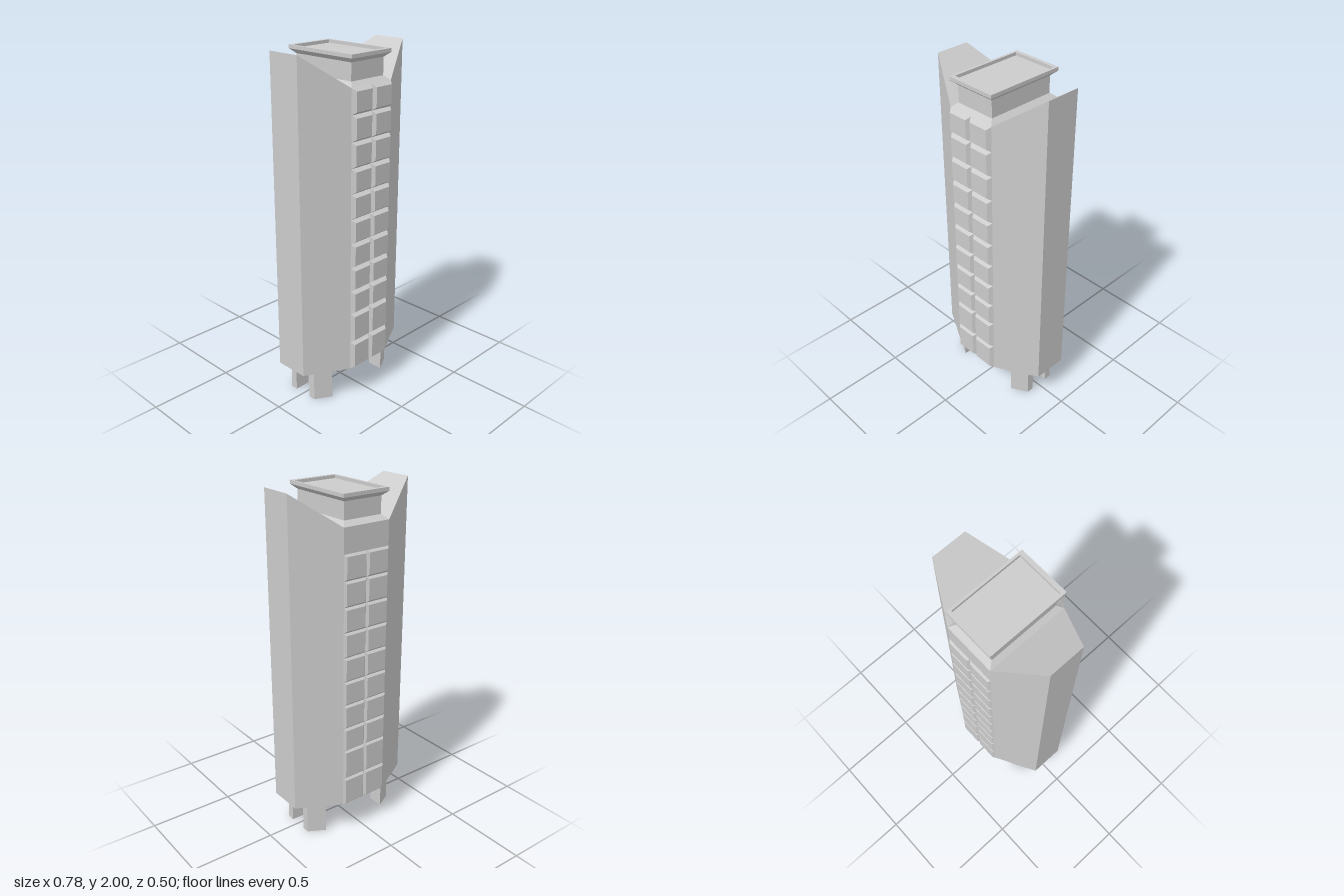
import * as THREE from 'three';

const material = new THREE.MeshStandardMaterial({ color: 0xcccccc, flatShading: true });

// Closed solid through stacked loops of [x, y, z], each counter-clockwise seen from above.
function loft(loops) {
  const pos = [];
  const quad = (a, b, c, d) => pos.push(...a, ...b, ...c, ...a, ...c, ...d);
  const n = loops[0].length;
  for (let k = 0; k < loops.length - 1; k++) {
    const l = loops[k], u = loops[k + 1];
    for (let i = 0; i < n; i++) {
      const j = (i + 1) % n;
      quad(l[i], l[j], u[j], u[i]);
    }
  }
  const bottom = loops[0], top = loops[loops.length - 1];
  for (let i = 0; i < n / 2 - 1; i++) {
    quad(top[i], top[i + 1], top[n - 2 - i], top[n - 1 - i]);
    quad(bottom[n - 1 - i], bottom[n - 2 - i], bottom[i + 1], bottom[i]);
  }
  const g = new THREE.BufferGeometry();
  g.setAttribute('position', new THREE.Float32BufferAttribute(pos, 3));
  g.computeVertexNormals();
  return g;
}

// Rectangular loop at height y
const rect = (hx, z0, z1, y) => [[hx, y, z0], [-hx, y, z0], [-hx, y, z1], [hx, y, z1]];

function add(parent, name, geometry) {
  const mesh = new THREE.Mesh(geometry, material);
  mesh.name = name;
  parent.add(mesh);
  return mesh;
}

export function createModel() {
  const model = new THREE.Group();
  model.name = 'tower';

  // Eight-sided shaft whose side wings rise towards the outer edges
  const plan = [[0.39, -0.105], [0.147, -0.24], [-0.147, -0.24], [-0.39, -0.105],
    [-0.39, 0.095], [-0.147, 0.228], [0.147, 0.228], [0.39, 0.095]];
  add(model, 'shaft', loft([
    plan.map(([x, z]) => [x, 0.2, z]),
    plan.map(([x, z]) => [x, Math.abs(x) > 0.2 ? 2 : 1.825, z]),
  ]));

  // Sloped shoulder, neck, flared rim and sunken roof
  add(model, 'roofCap', loft([
    rect(0.147, -0.24, 0.228, 1.825),
    rect(0.12, -0.205, 0.198, 1.85),
    rect(0.12, -0.205, 0.198, 1.945),
    rect(0.147, -0.236, 0.228, 1.97),
    rect(0.147, -0.236, 0.228, 1.99),
    rect(0.133, -0.215, 0.203, 1.99),
    rect(0.133, -0.215, 0.203, 1.972),
  ]));

  // Two columns of bevelled panels; the back stops one row lower
  const rows = [0.2, 0.373, 0.553, 0.695, 0.837, 0.979, 1.12, 1.262, 1.403, 1.545, 1.687, 1.825];
  const addPanels = (name, count, z, depth, bevel, turn) => {
    const group = new THREE.Group();
    group.name = name;
    for (let r = 0; r < count; r++) {
      const h = (rows[r + 1] - rows[r]) / 2;
      for (const side of [-1, 1]) {
        const g = loft([
          rect(0.0735, -h, h, 0),
          rect(0.0735 - bevel, -h + bevel, h - bevel, depth),
        ]).rotateX(turn);
        add(group, 'panel', g).position.set(side * 0.0735, rows[r] + h, z);
      }
    }
    model.add(group);
  };
  addPanels('frontPanels', 11, 0.228, 0.022, 0.016, Math.PI / 2);
  addPanels('backPanels', 10, -0.24, 0.012, 0.012, -Math.PI / 2);

  // Four feet with their outer faces parallel to the slanted shaft walls
  for (const sx of [1, -1]) {
    for (const sz of [1, -1]) {
      const foot = [[0.305, 0.055], [0.21, 0.055], [0.21, 0.15], [0.305, 0.097]]
        .map(([x, z]) => [sx * x, sz * z - 0.005]);
      if (sx * sz < 0) foot.reverse();
      add(model, 'foot', loft([0, 0.2].map((y) => foot.map(([x, z]) => [x, y, z]))));
    }
  }
  return model;
}
